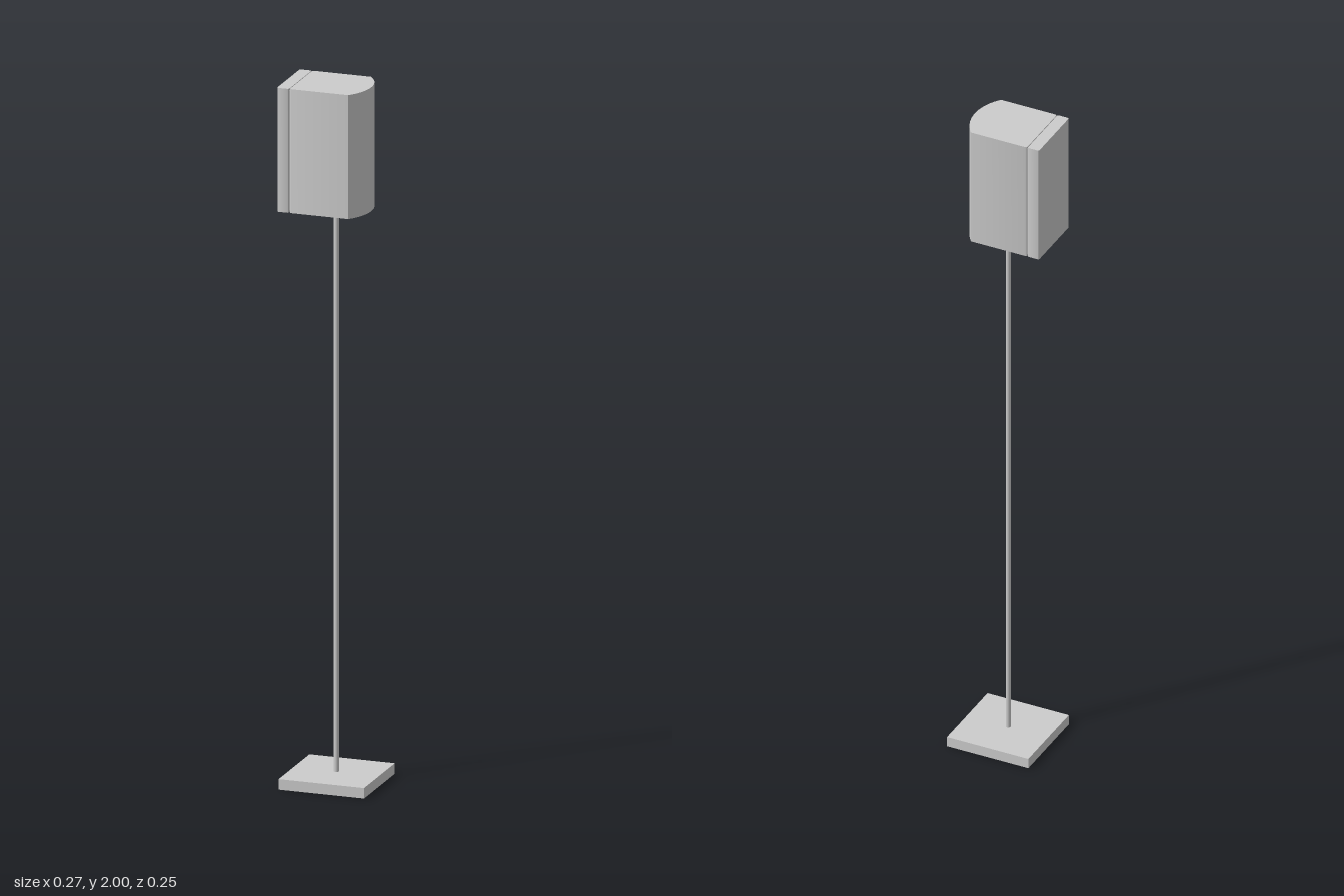
import * as THREE from 'three';
import { toCreasedNormals } from 'three/addons/utils/BufferGeometryUtils.js';

const grey = new THREE.MeshStandardMaterial({ color: 0xcccccc });
const BOTTOM = 1.645, TOP = 2, HALF = 0.0925, POLE_X = 0.007;

export function createModel() {
  const model = new THREE.Group();
  model.name = 'speakerOnStand';

  const add = (name, geometry, x, y) => {
    const mesh = new THREE.Mesh(geometry, grey);
    mesh.name = name;
    mesh.position.set(x, y, 0);
    model.add(mesh);
  };

  // Raises a plan outline (x, -z) into an upright prism
  const prism = (shape) => {
    const geometry = new THREE.ExtrudeGeometry(shape, {
      depth: TOP - BOTTOM, bevelEnabled: false, curveSegments: 24,
    });
    geometry.rotateX(-Math.PI / 2);
    return toCreasedNormals(geometry, 0.5);
  };

  // Stand: square foot plate, thin pole and mounting collar
  add('footPlate', new THREE.BoxGeometry(0.249, 0.03, 0.249), 0.008, 0.015);
  add('pole', new THREE.CylinderGeometry(0.007, 0.007, 1.61, 24), POLE_X, 0.83);
  add('collar', new THREE.CylinderGeometry(0.023, 0.023, 0.016, 32), POLE_X, 1.638);

  // Cabinet: rounded corners at -x, bowed face at +x
  const x0 = -0.096, x1 = 0.075, bow = 0.034, r = 0.005;
  const radius = (HALF * HALF + bow * bow) / (2 * bow);
  const sweep = Math.asin(HALF / radius);
  const cabinet = new THREE.Shape();
  cabinet.moveTo(x0 + r, -HALF);
  cabinet.lineTo(x1, -HALF);
  cabinet.absarc(x1 + bow - radius, 0, radius, -sweep, sweep, false);
  cabinet.lineTo(x0 + r, HALF);
  cabinet.absarc(x0 + r, HALF - r, r, Math.PI / 2, Math.PI, false);
  cabinet.absarc(x0 + r, -HALF + r, r, Math.PI, Math.PI * 1.5, false);
  add('cabinet', prism(cabinet), 0, BOTTOM);

  // Grille panel with rounded corners
  const p0 = -0.133, p1 = -0.098;
  const panel = new THREE.Shape();
  panel.absarc(p1 - r, -HALF + r, r, -Math.PI / 2, 0, false);
  panel.absarc(p1 - r, HALF - r, r, 0, Math.PI / 2, false);
  panel.absarc(p0 + r, HALF - r, r, Math.PI / 2, Math.PI, false);
  panel.absarc(p0 + r, -HALF + r, r, Math.PI, Math.PI * 1.5, false);
  add('grillePanel', prism(panel), 0, BOTTOM);

  // Spacer hidden in the narrow seam between panel and cabinet
  add('seamSpacer', new THREE.BoxGeometry(0.01, 0.345, 0.175), -0.097, (BOTTOM + TOP) / 2);

  return model;
}
